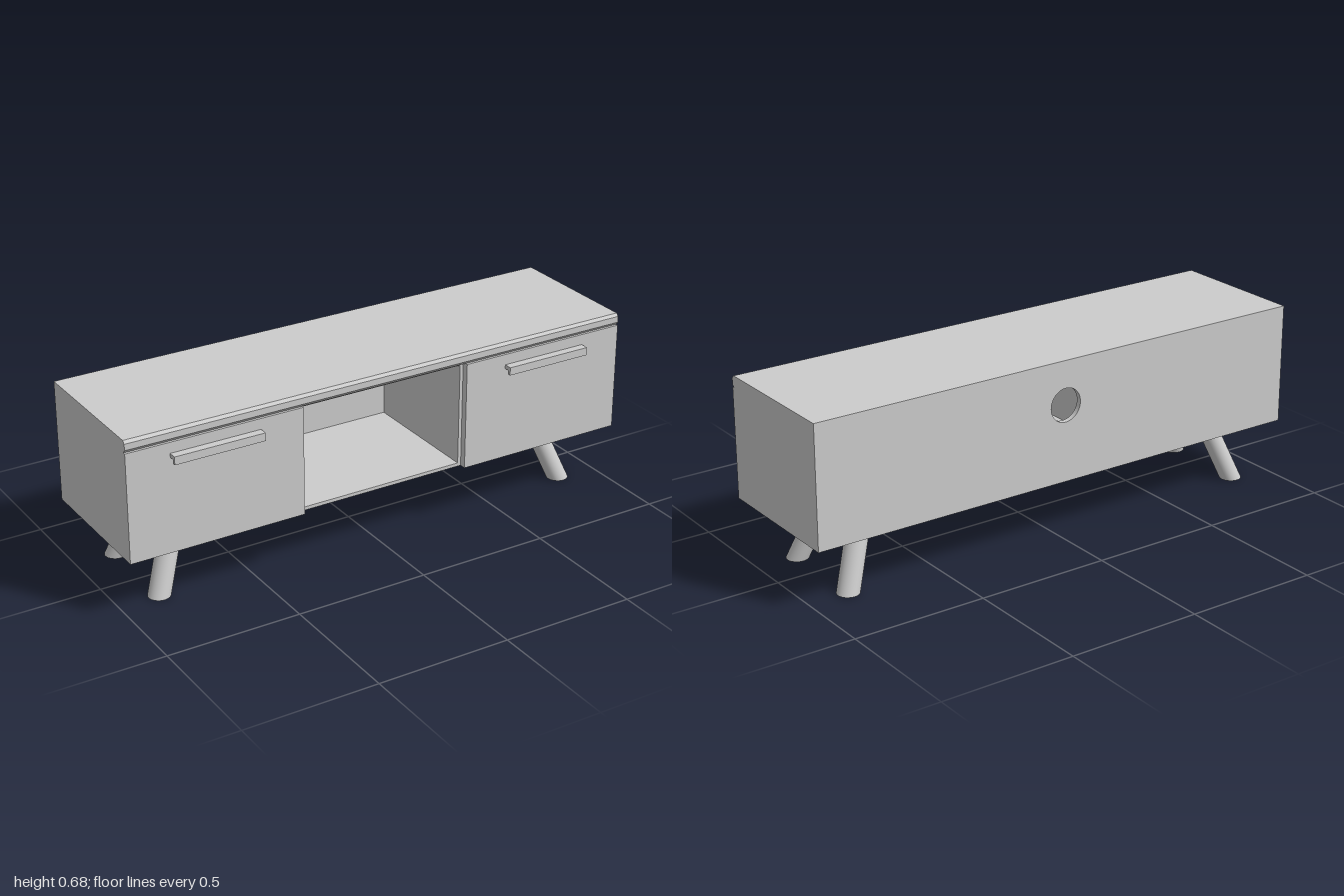
import * as THREE from 'three';
import { toCreasedNormals } from 'three/addons/utils/BufferGeometryUtils.js';

const BODY_BOTTOM = 0.222, TOP_BOTTOM = 0.63, BODY_TOP = 0.675;
const BACK = -0.285, FRONT = 0.255, CARCASS_FRONT = 0.23, BACK_PANEL = 0.02;

const polygon = (points) => new THREE.Shape(points.map(([x, y]) => new THREE.Vector2(x, y)));
const rectangle = (x0, y0, x1, y1) => polygon([[x0, y0], [x1, y0], [x1, y1], [x0, y1]]);

function extrude(shape, depth) {
  const geometry = new THREE.ExtrudeGeometry(shape, { depth, bevelEnabled: false, curveSegments: 24 });
  return toCreasedNormals(geometry, 0.6);
}

// Extrudes a (z, y) side profile along x, centred on x = 0
function extrudeAlongX(points, width) {
  const shape = polygon(points.map(([z, y]) => [-z, y]));
  return extrude(shape, width).rotateY(Math.PI / 2).translate(-width / 2, 0, 0);
}

// Cylinder with level ends, sheared between its top and bottom centres
function splayedLeg(top, bottom, radius) {
  const height = top.y - bottom.y;
  const geometry = new THREE.CylinderGeometry(radius, radius, height, 32);
  const shear = new THREE.Matrix4().set(
    1, (top.x - bottom.x) / height, 0, (top.x + bottom.x) / 2,
    0, 1, 0, (top.y + bottom.y) / 2,
    0, (top.z - bottom.z) / height, 1, (top.z + bottom.z) / 2,
    0, 0, 0, 1);
  return geometry.applyMatrix4(shear);
}

export function createModel() {
  const model = new THREE.Group();
  model.name = 'mediaCabinet';
  const grey = new THREE.MeshStandardMaterial({ color: 0xcccccc });
  grey.name = 'light grey';

  const add = (name, geometry) => {
    const mesh = new THREE.Mesh(geometry, grey);
    mesh.name = name;
    model.add(mesh);
    return mesh;
  };

  // Carcass with the open centre shelf
  const carcass = rectangle(-1, BODY_BOTTOM, 1, TOP_BOTTOM);
  carcass.holes.push(rectangle(-0.32, 0.235, 0.32, 0.62));
  const carcassBack = BACK + BACK_PANEL;
  add('carcass', extrude(carcass, CARCASS_FRONT - carcassBack).translate(0, 0, carcassBack));

  // Back panel with a round cable hole
  const back = rectangle(-1, BODY_BOTTOM, 1, TOP_BOTTOM);
  const cableHole = new THREE.Path();
  cableHole.absarc(0, 0.51, 0.063, 0, Math.PI * 2, true);
  back.holes.push(cableHole);
  add('backPanel', extrude(back, BACK_PANEL).translate(0, 0, BACK));

  // Top board, chamfered along both front edges
  add('topBoard', extrudeAlongX([
    [BACK, TOP_BOTTOM], [BACK, BODY_TOP], [0.245, BODY_TOP], [FRONT, 0.665],
    [FRONT, 0.642], [0.245, TOP_BOTTOM],
  ], 2));

  for (const [side, s] of [['left', 1], ['right', -1]]) {
    // Drawer front, standing proud of the carcass
    const drawerHeight = TOP_BOTTOM - BODY_BOTTOM;
    const drawer = add(side + 'DrawerFront',
      new THREE.BoxGeometry(0.667, drawerHeight, FRONT - CARCASS_FRONT));
    drawer.position.set(s * 0.6665, BODY_BOTTOM + drawerHeight / 2, (FRONT + CARCASS_FRONT) / 2);

    // L-shaped pull handle
    const handle = add(side + 'Handle', extrudeAlongX([
      [FRONT, 0.575], [FRONT, 0.59], [0.286, 0.59], [0.286, 0.56], [0.274, 0.56], [0.274, 0.575],
    ], 0.34));
    handle.position.x = s * 0.668;

    // Legs splayed outwards
    for (const [end, topZ, bottomZ] of [['Front', 0.08, 0.138], ['Back', -0.143, -0.201]]) {
      add(side + end + 'Leg', splayedLeg(
        new THREE.Vector3(s * 0.76, BODY_BOTTOM, topZ),
        new THREE.Vector3(s * 0.844, 0, bottomZ), 0.041));
    }
  }
  return model;
}
